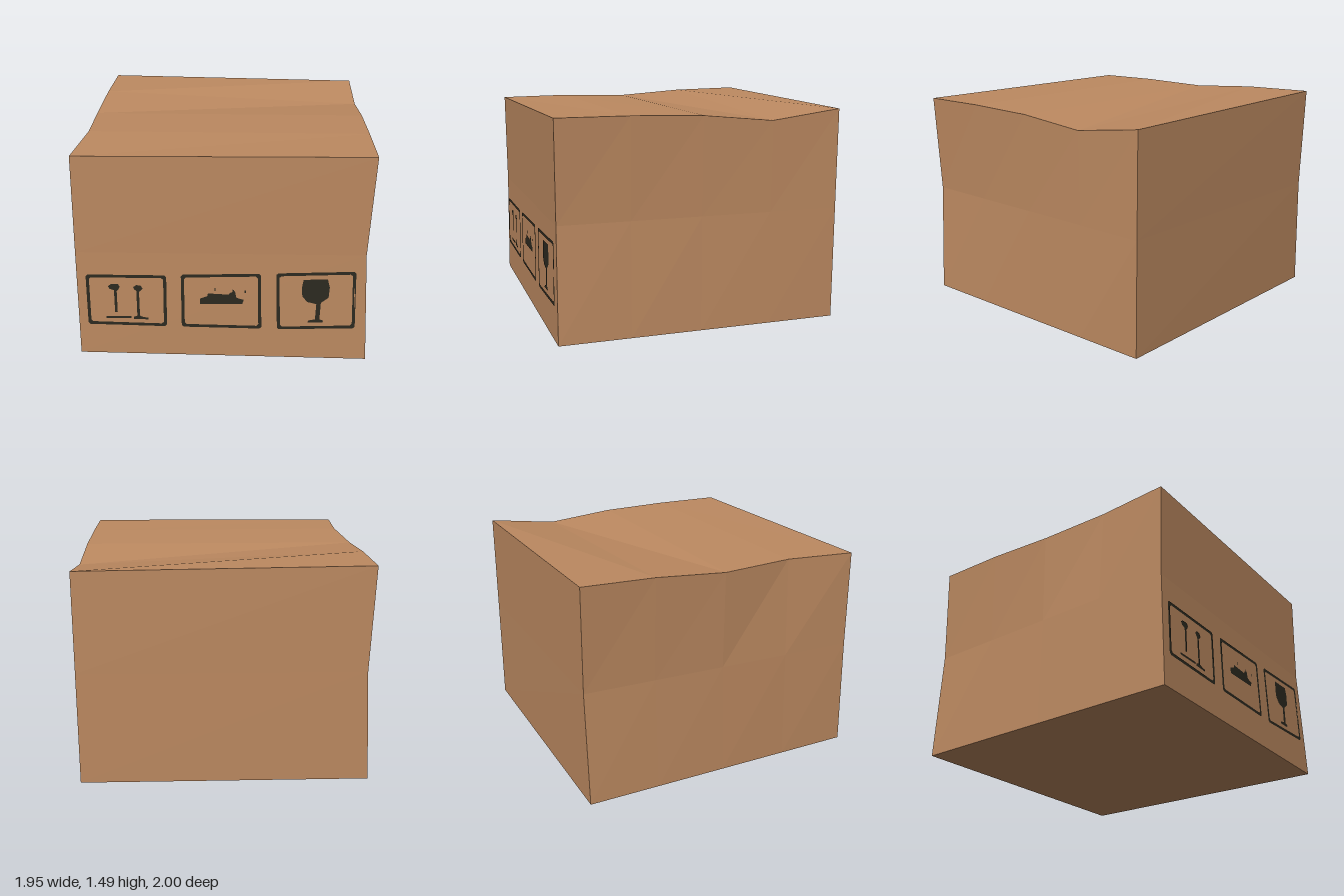
import * as THREE from 'three';

const cardboard = new THREE.MeshStandardMaterial({ color: 0xbd8a61 });
cardboard.name = 'cardboard';
const ink = new THREE.MeshStandardMaterial({ color: 0x2c2a20, side: THREE.DoubleSide });
ink.name = 'printInk';

const lerp = THREE.MathUtils.lerp;

// Heights of the sagging lid edges, from front to back
const LID_LEFT = [1.46, 1.46, 1.447, 1.40, 1.465];
const LID_RIGHT = [1.45, 1.46, 1.445, 1.48, 1.49];
// Front and back depth at floor, middle and lid
const FRONT_RIGHT = [1.0, 0.99, 0.997], FRONT_LEFT = [0.98, 0.972, 0.98];
const BACK_RIGHT = [-0.98, -0.99, -1.0], BACK_LEFT = [-0.975, -0.977, -0.98];
const MID_Y = 0.78;

// Dented carton: a box grid whose corners and edges are nudged
function cartonGeometry() {
  const geo = new THREE.BoxGeometry(2, 2, 2, 1, 2, 4);
  const pos = geo.attributes.position;
  for (let i = 0; i < pos.count; i++) {
    const left = pos.getX(i) > 0;
    const row = Math.round(pos.getY(i) + 1);
    const col = Math.round((1 - pos.getZ(i)) * 2);
    const t = col / 4;

    // Side walls buckle inwards at the middle row and at one lid point
    let x = left ? 0.975 : [-0.978, -0.975, -0.967][row];
    if (row === 1) x += left ? lerp(-0.035, 0, t) : lerp(0, 0.035, t);
    if (row === 2 && !left && col === 1) x += 0.032;

    let y = row === 1 ? MID_Y : 0;
    if (row === 0 && !left) y = lerp(0.025, 0, t);
    if (row === 2) y = (left ? LID_LEFT : LID_RIGHT)[col];

    const z = left ? lerp(FRONT_LEFT[row], BACK_LEFT[row], t)
      : lerp(FRONT_RIGHT[row], BACK_RIGHT[row], t);
    pos.setXYZ(i, x, y, z);
  }
  const flat = geo.toNonIndexed();
  flat.computeVertexNormals();
  return flat;
}

// Depth of the lower front wall
function frontZ(x, y) {
  const s = (x + 0.975) / 1.95, t = y / MID_Y;
  return lerp(lerp(FRONT_RIGHT[0], FRONT_RIGHT[1], t), lerp(FRONT_LEFT[0], FRONT_LEFT[1], t), s);
}

const toPoints = (pts) => pts.map(([x, y]) => new THREE.Vector2(x / 100, y / 100));

// Flat print laid just in front of the wall; points in hundredths
function print(name, outline, holes = []) {
  const shape = new THREE.Shape(toPoints(outline));
  for (const hole of holes) shape.holes.push(new THREE.Path(toPoints(hole)));
  const geo = new THREE.ShapeGeometry(shape);
  const pos = geo.attributes.position;
  for (let i = 0; i < pos.count; i++) pos.setZ(i, frontZ(pos.getX(i), pos.getY(i)) + 0.004);
  geo.computeVertexNormals();
  const mesh = new THREE.Mesh(geo, ink);
  mesh.name = name;
  return mesh;
}

// Four-cornered loop with cut corners, inset by d
function cutCorners(corners, d, cut) {
  const signs = [[1, 1], [-1, 1], [-1, -1], [1, -1]];
  return corners.flatMap(([x, y], i) => {
    const [sx, sy] = signs[i];
    const a = [x + sx * d, y + sy * (d + cut)];
    const b = [x + sx * (d + cut), y + sy * d];
    return i % 2 ? [b, a] : [a, b];
  });
}

function frame(name, corners, extraHoles = []) {
  return print(name, cutCorners(corners, 0, 1.3), [cutCorners(corners, 2.1, 1.3), ...extraHoles]);
}

const box = (x0, y0, x1, y1) => [[x0, y0], [x1, y0], [x1, y1], [x0, y1]];

export function createModel() {
  const group = new THREE.Group();
  group.name = 'cardboardBox';

  const carton = new THREE.Mesh(cartonGeometry(), cardboard);
  carton.name = 'carton';
  group.add(carton);

  // Handling marks: upright, handle with care, fragile
  const marks = new THREE.Group();
  marks.name = 'handlingMarks';
  marks.add(
    frame('uprightFrame', [[-91.5, 24.7], [-38, 23.7], [-37.7, 62], [-91.5, 62]]),
    print('firstUprightArrow', [[-77, 53.5], [-75, 55], [-70, 55], [-69, 53], [-70.5, 50.5],
      [-71.2, 50], [-71.2, 34], [-73, 34], [-73, 50.5], [-76, 51.5]]),
    print('secondUprightArrow', [[-60, 53], [-58, 54.5], [-55, 54.3], [-53.8, 52], [-55.5, 50],
      [-56.2, 49.5], [-56.2, 31.5], [-54, 30.5], [-50.5, 30], [-50.5, 28.7], [-60.5, 29],
      [-60.5, 30.5], [-58, 31.5], [-58, 50], [-59.5, 51.5]]),
    print('uprightGround', box(-79, 29.5, -62, 31)),

    frame('careFrame', [[-28, 23.5], [26, 22.8], [25.2, 64], [-28, 62.7]]),
    print('careHand', [[-15.5, 45], [-15.5, 41], [13, 41.5], [14, 44.5], [9, 46], [8, 51],
      [4.5, 49.5], [4, 48.3], [-10, 49], [-10.5, 47]]),
    print('careSpeck', box(-5.7, 51, -4.8, 53.2)),
    print('careSpeck', box(6.3, 50.4, 7.3, 52)),
    print('careSpeck', box(14.5, 49.8, 15.3, 51.6)),

    frame('fragileFrame', [[36.5, 22.5], [89, 24], [88, 66.3], [35.3, 64.5]],
      [[[87.6, 40], [88, 40], [87.7, 54], [87.3, 54]]]),
    print('fragileGoblet', [[53.5, 60], [69.5, 60.5], [71, 54.5], [70.5, 47], [65.5, 43],
      [65, 30.5], [67.5, 29.5], [67, 28], [57, 28], [57.5, 29.5], [62, 30.5], [62.5, 42],
      [56.5, 43.5], [53, 47.5], [52.5, 54]]),
  );
  group.add(marks);
  return group;
}
